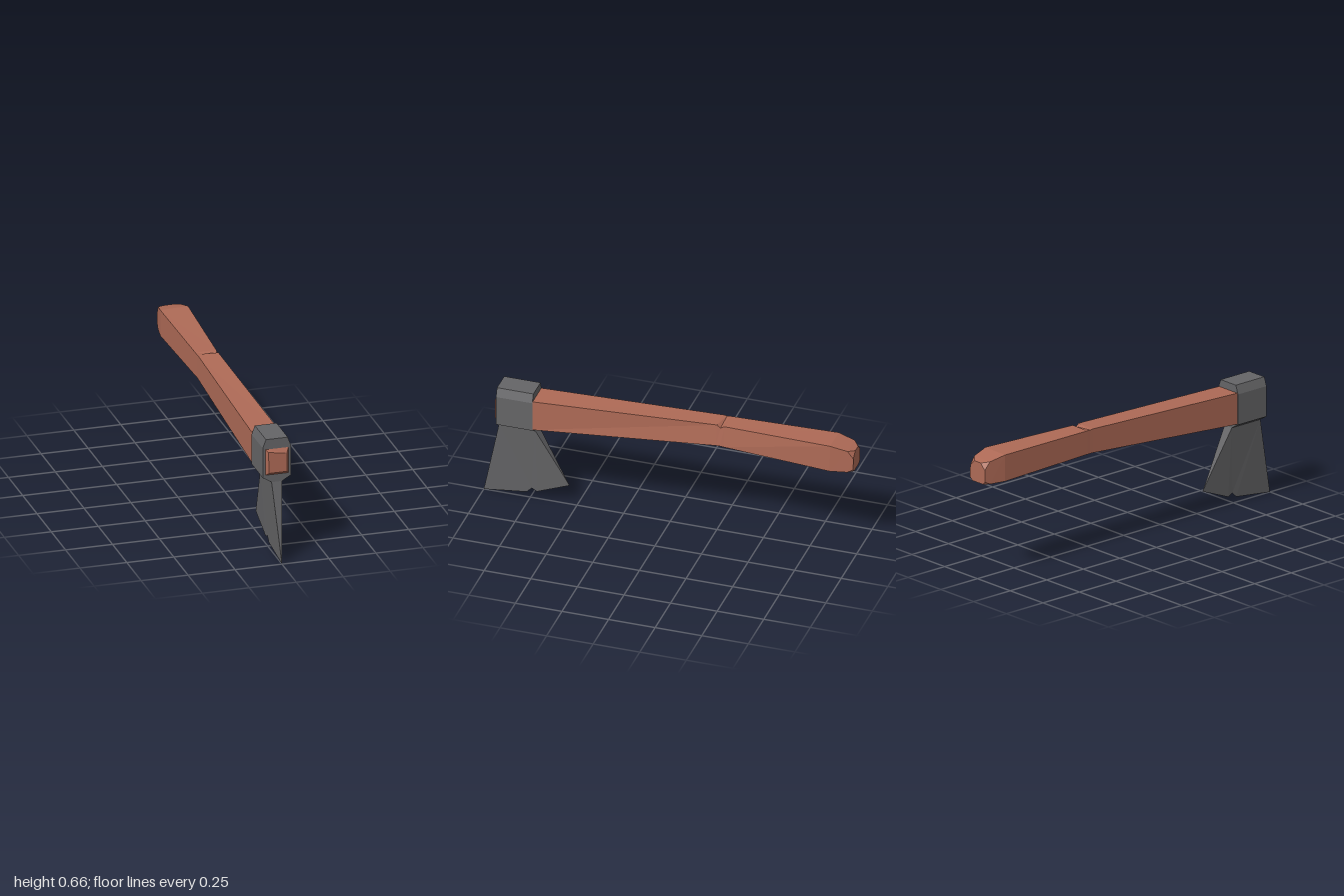
import * as THREE from 'three';

const wood = new THREE.MeshStandardMaterial({ name: 'wood', color: 0xae6a56, flatShading: true });
const steel = new THREE.MeshStandardMaterial({ name: 'steel', color: 0x656567, flatShading: true });

function meshFrom(triangles, material, name) {
  const geometry = new THREE.BufferGeometry();
  geometry.setAttribute('position', new THREE.Float32BufferAttribute(triangles.flat(2), 3));
  geometry.computeVertexNormals();
  const mesh = new THREE.Mesh(geometry, material);
  mesh.name = name;
  return mesh;
}

// Joins rings of equal length, running from +z to -z, and caps both ends.
// Ring points run counter-clockwise as seen from the front.
function loft(rings) {
  const tris = [];
  const n = rings[0].length;
  for (let r = 0; r < rings.length - 1; r++) {
    const a = rings[r], b = rings[r + 1];
    for (let i = 0; i < n; i++) {
      const j = (i + 1) % n;
      tris.push([a[i], b[i], b[j]], [a[i], b[j], a[j]]);
    }
  }
  const first = rings[0], last = rings[rings.length - 1];
  for (let i = 1; i < n - 1; i++) {
    tris.push([first[0], first[i], first[i + 1]], [last[0], last[i + 1], last[i]]);
  }
  return tris;
}

// Four corners (each an x, y pair), every corner split in two by an optional chamfer.
function ring(z, corners, cuts = [0, 0, 0, 0]) {
  const points = [];
  corners.forEach(([x, y], i) => {
    const c = cuts[i];
    for (const [nx, ny] of [corners[(i + 3) % 4], corners[(i + 1) % 4]]) {
      const d = Math.hypot(nx - x, ny - y);
      points.push([x + (nx - x) * c / d, y + (ny - y) * c / d, z]);
    }
  });
  return points;
}

export function createModel() {
  const group = new THREE.Group();
  group.name = 'axe';

  // Handle: corners in order bottom -x, bottom +x, top +x, top -x
  group.add(meshFrom(loft([
    ring(0.72, [[-0.071, 0.45], [0.071, 0.45], [0.071, 0.618], [-0.071, 0.618]]),
    ring(-0.265, [[-0.063, 0.524], [0.061, 0.541], [0.046, 0.656], [-0.063, 0.653]]),
    // wedge-shaped nick across the top
    ring(-0.285, [[-0.063, 0.525], [0.061, 0.542], [0.047, 0.642], [-0.063, 0.651]]),
    ring(-0.306, [[-0.064, 0.525], [0.061, 0.54], [0.047, 0.654], [-0.064, 0.652]]),
    ring(-0.88, [[-0.076, 0.517], [0.075, 0.515], [0.072, 0.663], [-0.076, 0.659]]),
    // rounded butt
    ring(-0.97, [[-0.062, 0.519], [0.061, 0.518], [0.058, 0.641], [-0.061, 0.639]]),
    ring(-1, [[-0.057, 0.52], [0.056, 0.52], [0.054, 0.632], [-0.056, 0.63]], [0.016, 0.016, 0.032, 0.032]),
  ]), wood, 'handle'));

  // Handle end showing through the front of the head
  group.add(meshFrom(loft([
    ring(0.924, [[-0.045, 0.476], [0.049, 0.476], [0.049, 0.577], [-0.049, 0.591]]),
    ring(0.908, [[-0.063, 0.46], [0.063, 0.46], [0.063, 0.607], [-0.063, 0.607]]),
  ]), wood, 'handleFrontEnd'));

  // Head block around the handle
  const profile = new THREE.Shape([
    [-0.028, 0.42], [0.028, 0.42], [0.075, 0.448], [0.075, 0.612],
    [0.058, 0.658], [-0.058, 0.658], [-0.075, 0.612], [-0.075, 0.448],
  ].map(([x, y]) => new THREE.Vector2(x, y)));
  const headGeometry = new THREE.ExtrudeGeometry(profile, { depth: 0.195, bevelEnabled: false });
  headGeometry.translate(0, 0, 0.715);
  const head = new THREE.Mesh(headGeometry, steel);
  head.name = 'headBlock';
  group.add(head);

  // Blade tapering to a nicked cutting edge
  const edge = [[1, 0], [0.77, 0.028], [0.743, 0.055], [0.715, 0.04], [0.54, 0.11]].map(([z, y]) => [0, y, z]);
  const front = (s) => [0.028 * s, 0.42, 0.91];
  const back = (s) => [0.028 * s, 0.42, 0.715];
  const tris = [[front(-1), edge[0], front(1)], [back(1), edge[4], back(-1)]];
  for (const s of [1, -1]) {
    const side = [
      [front(s), edge[0], edge[1]], [front(s), edge[1], edge[2]], [front(s), edge[2], back(s)],
      [back(s), edge[2], edge[3]], [back(s), edge[3], edge[4]],
    ];
    side.forEach((t) => tris.push(s > 0 ? t : t.reverse()));
  }
  group.add(meshFrom(tris, steel, 'blade'));

  return group;
}
